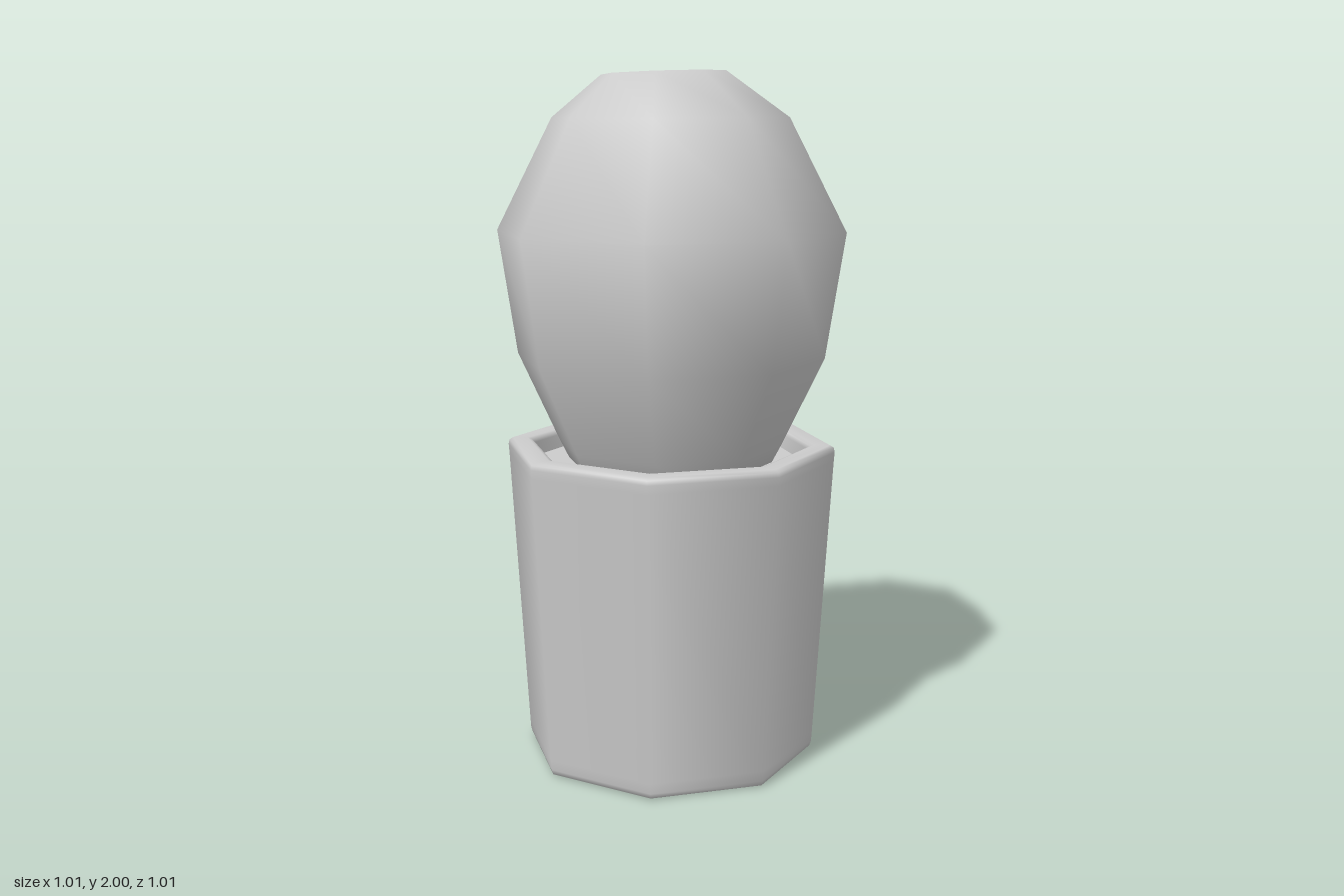
import * as THREE from 'three';

const SIDES = 8;

// Eight-sided turned part, profile listed as [radius, height]
function turned(name, profile) {
  const points = profile.map(([r, y]) => new THREE.Vector2(r, y));
  const material = new THREE.MeshStandardMaterial({ color: 0xcccccc });
  const mesh = new THREE.Mesh(new THREE.LatheGeometry(points, SIDES), material);
  mesh.name = name;
  return mesh;
}

export function createModel() {
  const group = new THREE.Group();
  group.name = 'pottedPlant';

  // Tapered pot with softened edges and a hollow lip
  group.add(turned('pot', [
    [0, 0], [0.40, 0], [0.415, 0], [0.426, 0.005], [0.431, 0.02], [0.433, 0.05],
    [0.482, 0.89], [0.484, 0.915], [0.481, 0.928], [0.47, 0.935],
    [0.425, 0.935], [0.413, 0.931], [0.407, 0.92], [0.402, 0.86],
  ]));

  // Soil closing the pot just under the lip
  group.add(turned('soil', [[0.404, 0.88], [0, 0.88]]));

  // Rounded plant body, its narrow base sunk in the soil
  const plant = turned('plant', [
    [0, 0.8], [0.26, 0.8], [0.33, 0.935], [0.45, 1.19],
    [0.505, 1.55], [0.34, 1.87], [0.178, 1.994], [0, 2],
  ]);
  // Slightly uneven crown
  const pos = plant.geometry.attributes.position;
  for (let i = 0; i < pos.count; i++) {
    if (pos.getY(i) > 1.95 && pos.getY(i) < 1.999) {
      const x = pos.getX(i);
      pos.setXYZ(i, x - 0.018, 1.994 + x * 0.03, pos.getZ(i));
    }
  }
  group.add(plant);

  return group;
}
